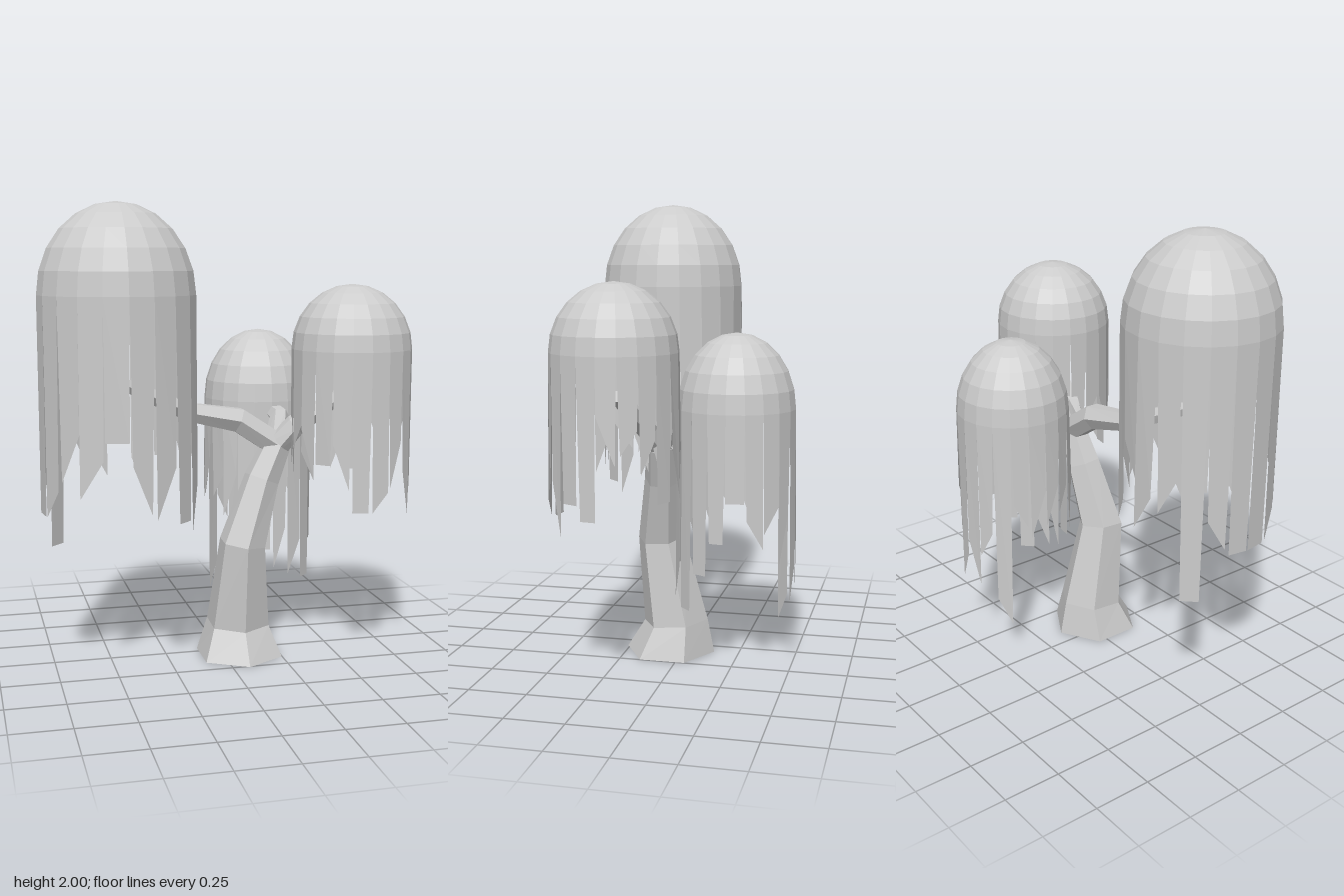
import * as THREE from 'three';

const material = new THREE.MeshStandardMaterial({ color: 0xcccccc, flatShading: true, side: THREE.DoubleSide });
const SIDES = 6, SEGMENTS = 20;

function makeMesh(name, positions, index) {
  const geometry = new THREE.BufferGeometry();
  geometry.setAttribute('position', new THREE.Float32BufferAttribute(positions, 3));
  geometry.setIndex(index);
  geometry.computeVertexNormals();
  const mesh = new THREE.Mesh(geometry, material);
  mesh.name = name;
  return mesh;
}

// Six-sided limb through stations of [x, y, z, radius]; one ridge follows ref
function limb(name, stations, ref) {
  const points = stations.map(([x, y, z]) => new THREE.Vector3(x, y, z));
  const last = points.length - 1;
  const positions = [], index = [];
  points.forEach((p, i) => {
    const t = points[Math.min(i + 1, last)].clone().sub(points[Math.max(i - 1, 0)]).normalize();
    if (p.y === 0) t.set(0, 1, 0);
    const u = ref.clone().addScaledVector(t, -ref.dot(t)).normalize();
    const v = t.clone().cross(u);
    for (let k = 0; k < SIDES; k++) {
      const a = k / SIDES * Math.PI * 2, r = stations[i][3];
      positions.push(...p.clone().addScaledVector(u, r * Math.cos(a)).addScaledVector(v, r * Math.sin(a)).toArray());
      if (i < last) {
        const a0 = i * SIDES + k, b0 = i * SIDES + (k + 1) % SIDES;
        index.push(a0, b0, b0 + SIDES, a0, b0 + SIDES, a0 + SIDES);
      }
    }
  });
  // end caps
  for (let k = 1; k < SIDES - 1; k++) {
    const e = last * SIDES;
    index.push(0, k + 1, k, e, e + k, e + k + 1);
  }
  return makeMesh(name, positions, index);
}

// Domed crown with a ring of hanging strips; lows holds the lowest y of each strip
function canopy(name, [x, z], radius, rim, top, lows, seed) {
  const group = new THREE.Group();
  group.name = name;
  group.position.set(x, 0, z);

  const domeGeometry = new THREE.SphereGeometry(radius, SEGMENTS, 6, 0, Math.PI * 2, 0, Math.PI / 2);
  domeGeometry.scale(1, (top - rim) / radius, 1);
  const dome = new THREE.Mesh(domeGeometry, material);
  dome.name = 'crownDome';
  dome.position.y = rim;
  group.add(dome);

  const random = () => (seed = (seed * 16807) % 2147483647) / 2147483647;
  const positions = [], index = [];
  const corner = (a, r, y) => positions.push(r * Math.sin(a), y, r * Math.cos(a));
  lows.forEach((low, i) => {
    const step = Math.PI * 2 / SEGMENTS;
    const a0 = -Math.PI / 2 + i * step, a1 = a0 + step;
    const gap0 = step * 0.16 * random(), gap1 = step * 0.16 * random();
    const flare = radius * (0.98 + 0.05 * random());
    const slant = random() < 0.3 ? 0 : 0.08 + 0.14 * random();
    const leftLow = random() < 0.5;
    const n = i * 4;
    corner(a0, radius, rim);
    corner(a0 + gap0, flare, leftLow ? low : low + slant);
    corner(a1 - gap1, flare, leftLow ? low + slant : low);
    corner(a1, radius, rim);
    index.push(n, n + 1, n + 2, n, n + 2, n + 3);
  });
  group.add(makeMesh('hangingStrips', positions, index));
  return group;
}

export function createModel() {
  const model = new THREE.Group();
  model.name = 'weepingTree';
  const alongX = new THREE.Vector3(1, 0, 0), alongZ = new THREE.Vector3(0, 0, 1);

  // Leaning trunk with a flared foot
  model.add(limb('trunk', [
    [0.075, 0, 0.06, 0.2], [0.075, 0.14, 0.035, 0.145], [0.08, 0.52, 0.1, 0.105],
    [0.175, 0.8, 0.07, 0.08], [0.25, 0.96, 0.06, 0.065],
  ], alongZ));

  // Branches reaching into the three crowns
  model.add(limb('rightBranch', [
    [0.26, 0.94, 0.06, 0.06], [0.07, 1.065, 0.055, 0.06], [-0.16, 1.11, 0.07, 0.045], [-0.46, 1.25, 0.17, 0.03],
  ], alongZ));
  model.add(limb('leftBranch', [
    [0.23, 0.93, 0.06, 0.06], [0.32, 1.04, 0.1, 0.05], [0.54, 1.2, 0.17, 0.03],
  ], alongZ));
  model.add(limb('backBranch', [
    [0.24, 0.93, 0.06, 0.055], [0.27, 1.07, 0.02, 0.045], [0.25, 1.12, -0.25, 0.03],
  ], alongX));

  // Crowns, strips listed from the right side round the front to the left and back
  model.add(canopy('rightCanopy', [-0.48, 0.178], 0.33, 1.62, 2, [
    0.72, 0.72, 0.88, 0.82, 1.05, 0.75, 0.73, 0.7, 0.65, 0.85,
    0.85, 0.8, 0.9, 0.75, 1, 0.8, 0.9, 0.52, 0.75, 0.72,
  ], 11));
  model.add(canopy('leftCanopy', [0.55, 0.175], 0.262, 1.38, 1.66, [
    0.95, 0.85, 0.9, 0.8, 0.7, 0.7, 0.8, 0.66, 0.8, 0.74,
    0.96, 1, 0.92, 0.8, 0.8, 0.85, 0.75, 0.9, 0.8, 0.85,
  ], 23));
  model.add(canopy('backCanopy', [0.247, -0.267], 0.25, 1.13, 1.445, [
    0.65, 0.68, 0.6, 0.5, 0.45, 0.36, 0.33, 0.3, 0.46, 0.6,
    0.77, 0.58, 0.64, 0.5, 0.33, 0.35, 0.5, 0.17, 0.65, 0.6,
  ], 37));
  return model;
}
